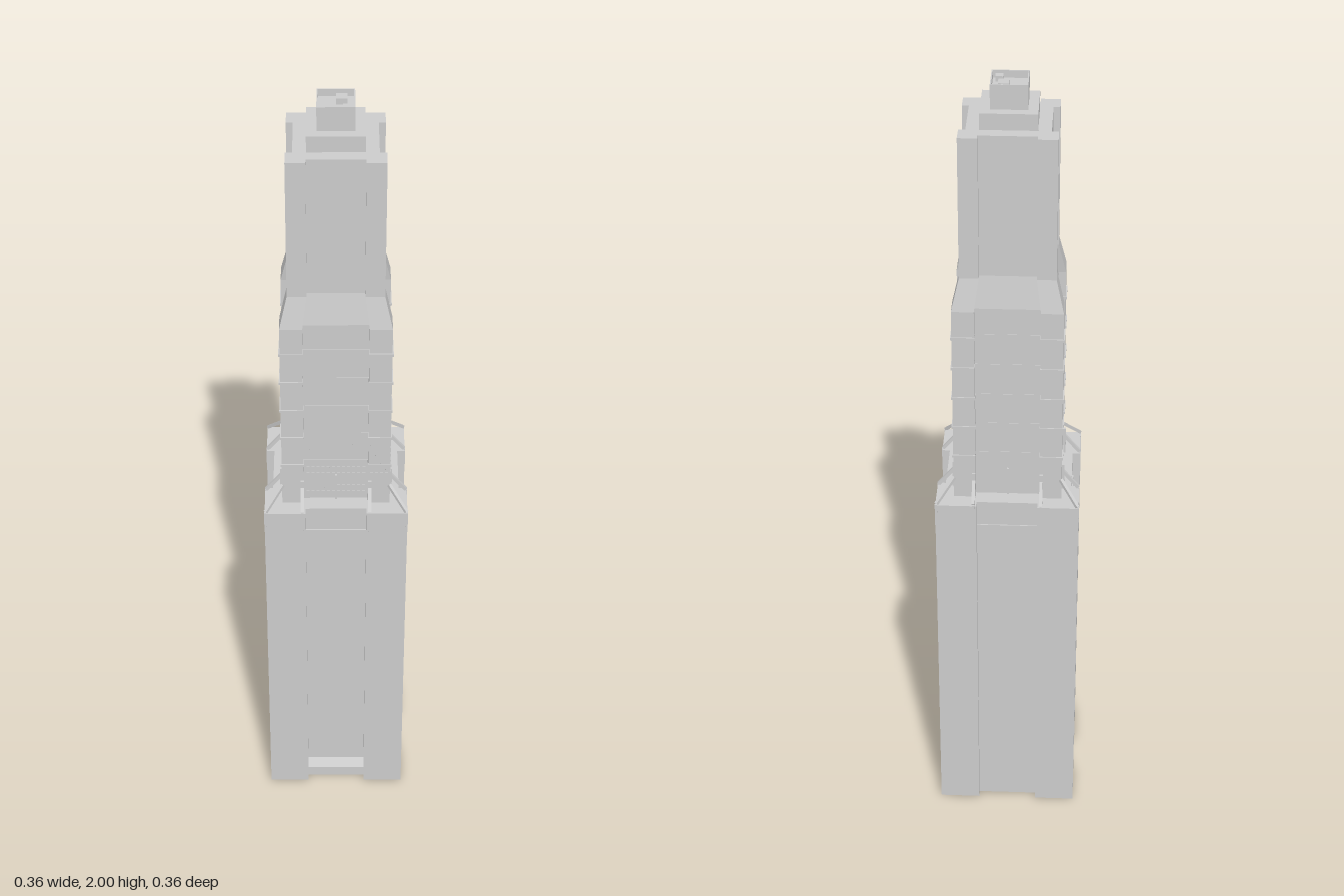
import * as THREE from 'three';
import { mergeGeometries } from 'three/addons/utils/BufferGeometryUtils.js';

const mat = new THREE.MeshStandardMaterial({ color: 0xcccccc, flatShading: true });
const CZ = -0.0025; // small backward offset of the tower axis

// Square plan with a recessed bay in the middle of every side
function notchedPlan(half, bay, recess) {
  const side = [[half, -half], [half, -bay], [recess, -bay], [recess, bay], [half, bay]];
  const pts = [];
  for (let k = 0; k < 4; k++) {
    for (const [x, y] of side) pts.push(new THREE.Vector2(x, y).rotateAround(new THREE.Vector2(), k * Math.PI / 2));
  }
  return new THREE.Shape(pts);
}

// Raises a plan through levels of [height, scale]
function loft(shape, levels) {
  const n = levels.length - 1;
  const geo = new THREE.ExtrudeGeometry(shape, { depth: n, steps: n, bevelEnabled: false });
  geo.rotateX(-Math.PI / 2);
  const p = geo.attributes.position;
  for (let i = 0; i < p.count; i++) {
    const [y, s] = levels[Math.round(p.getY(i))];
    p.setXYZ(i, p.getX(i) * s, y, p.getZ(i) * s);
  }
  geo.computeVertexNormals();
  return geo;
}

function boxGeo(w, h, d, x, y, z) {
  return new THREE.BoxGeometry(w, h, d).translate(x, y, z);
}

// Square bar between two points
function barGeo(a, b, t) {
  const from = new THREE.Vector3(...a), to = new THREE.Vector3(...b);
  const m = new THREE.Object3D();
  m.position.copy(from).add(to).multiplyScalar(0.5);
  m.lookAt(to);
  m.updateMatrix();
  return new THREE.BoxGeometry(t, t, from.distanceTo(to)).applyMatrix4(m.matrix);
}

export function createModel() {
  const group = new THREE.Group();
  const tower = new THREE.Group();
  tower.name = 'tower';
  tower.position.z = CZ;
  group.add(tower);
  const add = (name, geos) => {
    const mesh = new THREE.Mesh(Array.isArray(geos) ? mergeGeometries(geos) : geos, mat);
    mesh.name = name;
    tower.add(mesh);
    return mesh;
  };

  // Main volumes
  add('lowerBlock', loft(notchedPlan(0.1765, 0.075, 0.157), [[0, 1], [0.945, 1]]));
  add('upperShaft', loft(notchedPlan(0.133, 0.079, 0.114),
    [[0.945, 1], [1.465, 1], [1.545, 0.86], [1.9, 0.86]]));

  // Thin string courses round the shaft
  add('shaftBands', [1.06, 1.143, 1.225, 1.308, 1.39].map((y) =>
    loft(notchedPlan(0.136, 0.078, 0.115), [[y, 1], [y + 0.007, 1]])));

  // Ledges near the top of the lower bays, and short fins at the shaft foot
  const ledges = [], fins = [];
  for (let k = 0; k < 4; k++) {
    const turn = (g) => g.rotateY(k * Math.PI / 2);
    ledges.push(turn(boxGeo(0.15, 0.008, 0.006, 0, 0.875, 0.157)));
    fins.push(turn(boxGeo(0.005, 0.075, 0.008, 0, 0.9825, 0.115)));
  }
  add('bayLedges', ledges);
  add('footFins', fins);

  // Sloping struts from the terrace edge to the shaft, with ribs down the wall
  const struts = [], ribs = [];
  for (let k = 0; k < 4; k++) {
    const turn = (g) => g.rotateY(k * Math.PI / 2);
    struts.push(turn(barGeo([0.174, 0.948, 0.174], [0.131, 1.0, 0.131], 0.008)));
    ribs.push(turn(boxGeo(0.006, 0.06, 0.006, 0.1745, 0.917, 0.1745)));
    for (const s of [-1, 1]) {
      struts.push(turn(barGeo([0.083 * s, 0.948, 0.174], [0.083 * s, 1.0, 0.131], 0.008)));
      struts.push(turn(boxGeo(0.008, 0.07, 0.008, 0.083 * s, 0.98, 0.135)));
      ribs.push(turn(boxGeo(0.006, 0.06, 0.004, 0.083 * s, 0.917, 0.1755)));
    }
  }
  add('struts', struts);
  add('strutRibs', ribs);

  // Entrance canopy: wedge across the front bay
  const wedge = new THREE.Shape([[0.15, 0.04], [0.174, 0.04], [0.174, 0.047], [0.157, 0.068], [0.15, 0.068]]
    .map(([z, y]) => new THREE.Vector2(z, y)));
  const canopy = new THREE.ExtrudeGeometry(wedge, { depth: 0.15, bevelEnabled: false });
  canopy.rotateY(-Math.PI / 2).translate(0.075, 0, 0);
  add('entranceCanopy', canopy);

  // Stepped crown with a sunken roof and two roof boxes
  add('crownStep', boxGeo(0.134, 0.04, 0.134, 0, 1.92, 0));
  add('crownTop', boxGeo(0.087, 0.042, 0.087, 0, 1.961, 0));
  const parapet = [];
  for (let k = 0; k < 4; k++) {
    parapet.push(boxGeo(0.087, 0.018, 0.003, 0, 1.991, 0.042).rotateY(k * Math.PI / 2));
  }
  add('parapet', parapet);
  add('roofBoxes', [boxGeo(0.026, 0.016, 0.026, 0.013, 1.989, -0.015), boxGeo(0.018, 0.014, 0.018, 0.025, 1.988, 0.026)]);

  // Shallow window plates; u runs along the wall, d is the wall distance
  const windows = (rows, cols, y0, dy, u0, du, d, h, onLeft, keep = () => true) => {
    const out = [];
    for (let r = 0; r < rows; r++) {
      for (let c = 0; c < cols; c++) {
        if (!keep(r, c)) continue;
        const g = boxGeo(du * 0.6, h, 0.002, u0 + du * c, y0 + dy * r, d);
        out.push(onLeft ? g.rotateY(Math.PI / 2) : g);
      }
    }
    return out;
  };
  const sparse = (r, c) => (r * 3 + c * 5) % 7 < 4;
  add('frontBayWindows', windows(10, 12, 0.965, 0.0185, -0.069, 0.0125, 0.114, 0.009, false));
  add('frontPierWindows', windows(6, 4, 1.035, 0.0185, 0.087, 0.0125, 0.133, 0.009, false));
  add('leftPierWindows', windows(6, 4, 1.035, 0.0185, -0.125, 0.0125, 0.133, 0.009, true));
  add('leftShaftWindows', windows(17, 5, 1.0, 0.027, -0.066, 0.02, 0.1135, 0.005, true, sparse)
    .concat(windows(12, 4, 1.58, 0.027, -0.055, 0.02, 0.0975, 0.005, true, sparse)));
  add('leftBayWindows', windows(16, 5, 0.52, 0.0225, -0.06, 0.02, 0.1565, 0.005, true, sparse));

  return group;
}
